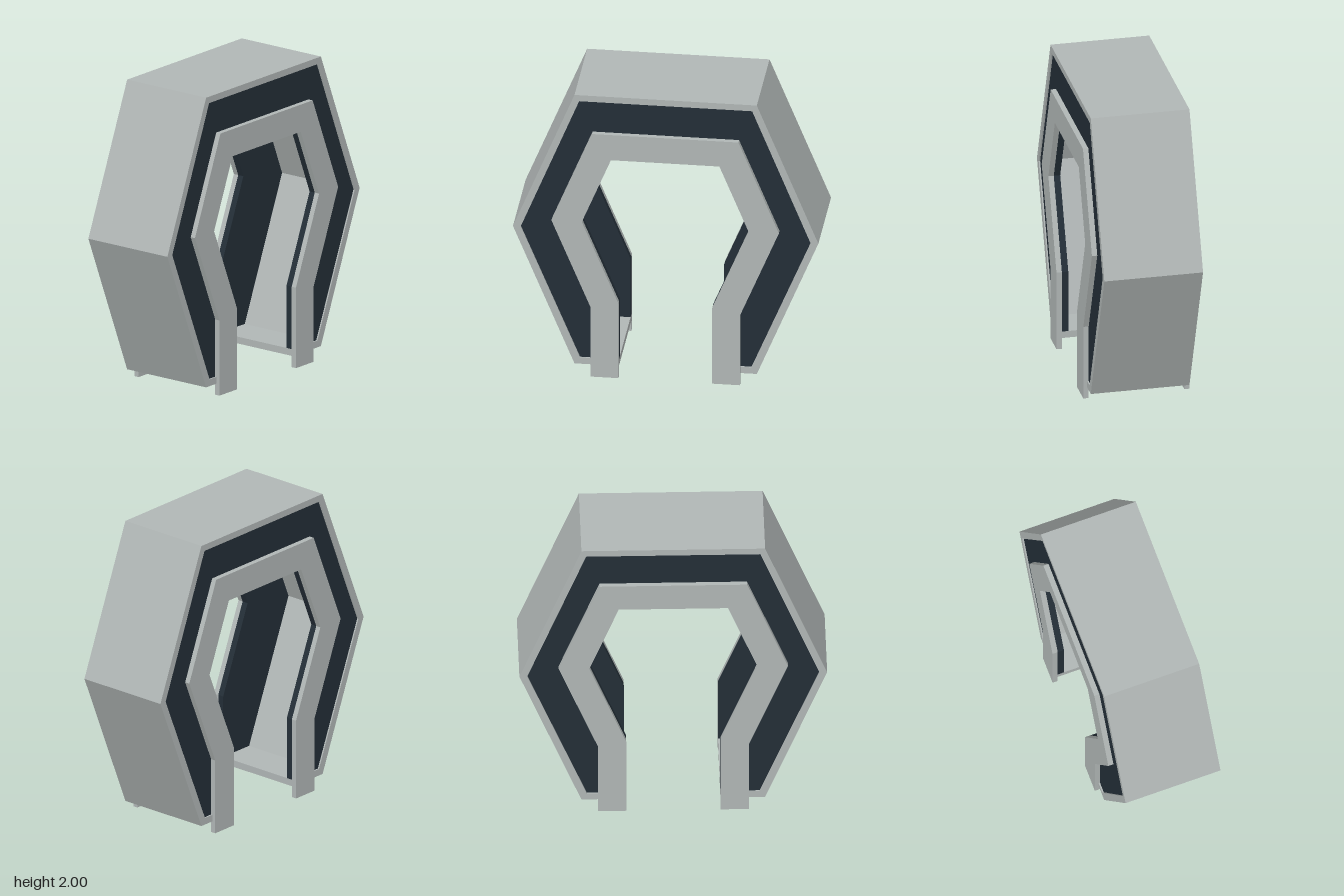
import * as THREE from 'three';

// Half profiles as [z, y], from the foot up to the crown
const shellOuter = [[0.3, 0.075], [0.585, 0.075], [0.98, 1.035], [0.585, 2]];
const shellInner = [[0.3, 0.12], [0.55, 0.12], [0.93, 1.035], [0.555, 1.957]];
const frameOuter = [[0.48, 0], [0.48, 0.5], [0.73, 1.105], [0.47, 1.74]];
const opening = [[0.3, 0], [0.3, 0.535], [0.535, 1.105], [0.348, 1.56]];
const panelOpening = [[0.3, 0.12], ...opening.slice(1)];

// Mirrors a half profile front to back into a full arch path
const arch = (half) => [...half, ...half.map(([z, y]) => [-z, y]).reverse()];

// Solid between two arch paths, spanning x0 to x1
function archBand(outer, inner, x0, x1) {
  const points = [...arch(outer), ...arch(inner).reverse()];
  const shape = new THREE.Shape(points.map(([z, y]) => new THREE.Vector2(z, y)));
  const geometry = new THREE.ExtrudeGeometry(shape, { depth: x1 - x0, bevelEnabled: false });
  geometry.rotateY(-Math.PI / 2);
  geometry.translate(x1, 0, 0);
  return geometry;
}

export function createModel() {
  const group = new THREE.Group();
  const lightGrey = new THREE.MeshStandardMaterial({ color: 0xb0b6b5 });
  lightGrey.name = 'lightGrey';
  const darkNavy = new THREE.MeshStandardMaterial({ color: 0x232e37 });
  darkNavy.name = 'darkNavy';

  const add = (name, geometry, material) => {
    const mesh = new THREE.Mesh(geometry, material);
    mesh.name = name;
    group.add(mesh);
  };

  // Hollow outer shell with short floors at both feet
  add('outerShell', archBand(shellOuter, shellInner, -0.322, 0.322), lightGrey);

  // Recessed side panels and raised door frames on both sides
  for (const [side, s] of [['left', 1], ['right', -1]]) {
    const span = (a, b) => (s > 0 ? [a, b] : [-b, -a]);
    add(side + 'SidePanel', archBand(shellInner, panelOpening, ...span(0.27, 0.312)), darkNavy);
    add(side + 'DoorFrame', archBand(frameOuter, opening, ...span(0.312, 0.347)), lightGrey);
  }
  return group;
}
